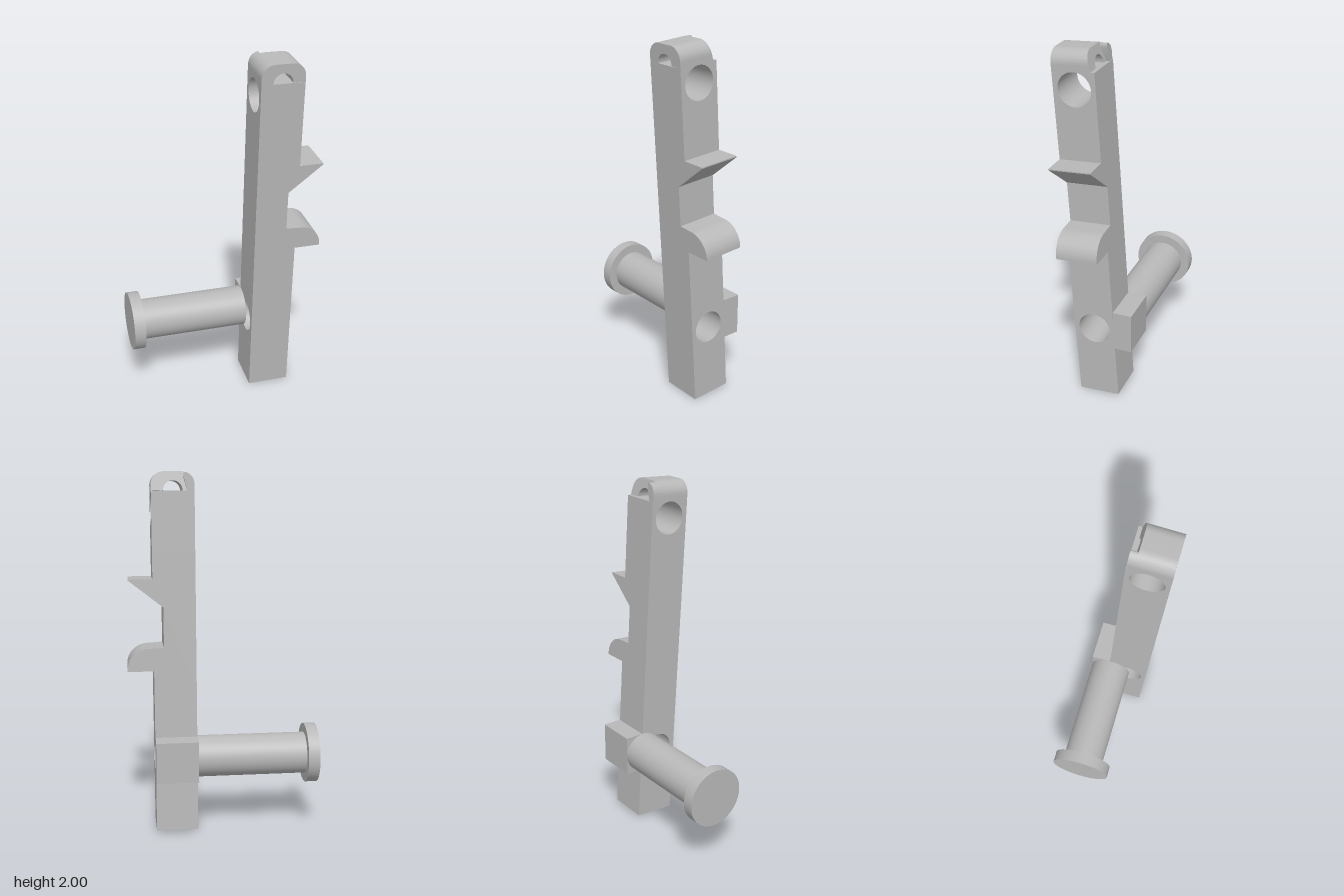
import * as THREE from 'three';
import { toCreasedNormals } from 'three/addons/utils/BufferGeometryUtils.js';

const X0 = 0.143, X1 = 0.376, DEPTH = 0.23, TOP = 1.988;
const LOW = 0.8, MID = 1.55, HEAD = 1.885;

function extrude(shape, depth) {
  return new THREE.ExtrudeGeometry(shape, { depth, bevelEnabled: false, curveSegments: 24 });
}

// Bar length with a round cross hole; drawn from the side and extruded along x
function drilledSegment(y0, y1, holeY) {
  const s = new THREE.Shape();
  s.moveTo(0, y0).lineTo(DEPTH, y0).lineTo(DEPTH, y1).lineTo(0, y1).closePath();
  const hole = new THREE.Path();
  hole.absarc(0.115, holeY, 0.09, 0, Math.PI * 2, true);
  s.holes.push(hole);
  return extrude(s, X1 - X0).rotateY(Math.PI / 2).translate(X0, 0, 0);
}

// Notched length with a rounded lower catch and a pointed upper catch
function notchedSegment() {
  const s = new THREE.Shape();
  s.moveTo(X0, LOW).lineTo(X1, LOW).lineTo(X1, 0.912).lineTo(0.52, 0.912);
  s.absellipse(0.4, 0.92, 0.12, 0.117, 0, Math.PI / 2, false);
  s.lineTo(0.32, 1.042).lineTo(0.32, 1.262).lineTo(0.508, 1.41).lineTo(0.508, 1.416);
  s.lineTo(X1, 1.416).lineTo(X1, MID).lineTo(X0, MID).closePath();
  return extrude(s, DEPTH).translate(0, 0, -DEPTH);
}

// Rounded head with a half-round eye and a sloping back face
function headSegment() {
  const r = 0.07, cx = 0.258;
  const s = new THREE.Shape();
  s.moveTo(X0, HEAD).lineTo(cx - 0.052, HEAD);
  s.absarc(cx, HEAD + 0.003, 0.052, Math.PI, 0, true);
  s.lineTo(X1, HEAD).lineTo(X1, TOP - r);
  s.absarc(X1 - r, TOP - r, r, 0, Math.PI / 2, false);
  s.absarc(X0 + r, TOP - r, r, Math.PI / 2, Math.PI, false);
  s.closePath();
  const g = extrude(s, 0.21).translate(0, 0, -0.21);
  const p = g.attributes.position;
  for (let i = 0; i < p.count; i++) {
    if (p.getZ(i) < -0.1) p.setZ(i, p.getZ(i) + 0.22 * (p.getY(i) - HEAD));
  }
  g.computeVertexNormals();
  return g;
}

// Small lobe standing on the back right corner of the head
function lobe() {
  const s = new THREE.Shape();
  s.moveTo(X0, HEAD).lineTo(0.18, HEAD).lineTo(0.198, 1.95);
  s.quadraticCurveTo(0.204, 1.984, 0.188, 1.982);
  s.quadraticCurveTo(0.143, 1.966, X0, 1.918);
  s.closePath();
  return extrude(s, 0.05).translate(0, 0, -0.227);
}

export function createModel() {
  const model = new THREE.Group();
  const grey = new THREE.MeshStandardMaterial({ color: 0xb8b8b8 });
  grey.name = 'plain grey';

  function add(parent, name, geometry) {
    const mesh = new THREE.Mesh(toCreasedNormals(geometry, 0.5), grey);
    mesh.name = name;
    parent.add(mesh);
    return mesh;
  }

  // Bar, leaning slightly forward about its lower front edge
  const bar = new THREE.Group();
  bar.name = 'leaningBar';
  bar.position.z = 0.115;
  bar.rotation.x = 0.063;
  model.add(bar);
  add(bar, 'lowerBar', drilledSegment(0, LOW, 0.419));
  add(bar, 'notchedBar', notchedSegment());
  add(bar, 'upperBar', drilledSegment(MID, HEAD, 1.792));
  add(bar, 'barHead', headSegment());
  add(bar, 'headLobe', lobe());

  // Block behind the bar
  const block = add(model, 'backBlock', new THREE.BoxGeometry(X1 - X0, 0.23, 0.107));
  block.position.set((X0 + X1) / 2, 0.437, -0.1365);

  // Peg and its end flange, pointing to the right side
  function disc(name, radius, xa, xb) {
    const g = new THREE.CylinderGeometry(radius, radius, xb - xa, 64).rotateZ(Math.PI / 2);
    add(model, name, g).position.set((xa + xb) / 2, 0.437, -0.075);
  }
  disc('peg', 0.115, -0.47, X0);
  disc('pegFlange', 0.165, -0.523, -0.459);

  return model;
}
